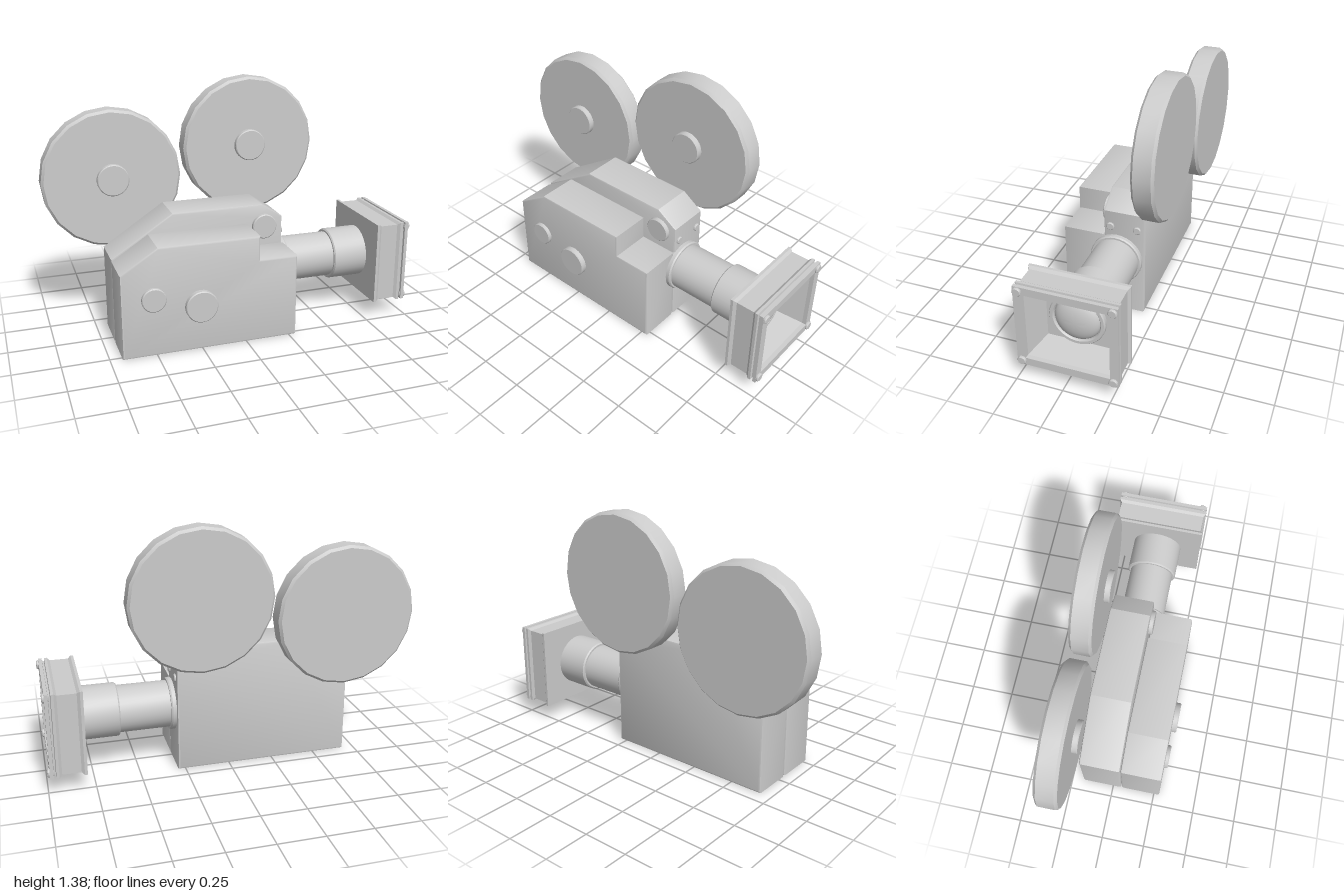
import * as THREE from 'three';
import { toCreasedNormals } from 'three/addons/utils/BufferGeometryUtils.js';

const material = new THREE.MeshStandardMaterial({ color: 0xcccccc });
const LENS_Y = 0.335, LENS_Z = -0.025;

function part(name, geometry, parent, x = 0, y = 0, z = 0) {
  const mesh = new THREE.Mesh(geometry, material);
  mesh.name = name;
  mesh.position.set(x, y, z);
  parent.add(mesh);
  return mesh;
}

// Turned solid from [radius, height] pairs
function turned(profile, sides) {
  const points = profile.map(([r, h]) => new THREE.Vector2(r, h));
  return toCreasedNormals(new THREE.LatheGeometry(points, sides), 0.5);
}

// Disc with softened rims, from height 0 to h
function disc(r, h, sides, b = 0.005) {
  return turned([[0, 0], [r - b, 0], [r, b], [r, h - b], [r - b, h], [0, h]], sides);
}
const facingFront = (g) => g.rotateX(Math.PI / 2);  // axis along +z
const facingLens = (g) => g.rotateZ(-Math.PI / 2);  // axis along +x

// Side profile extruded between two z planes with bevelled edges
function slab(outline, z0, z1) {
  const b = 0.01;
  const shape = new THREE.Shape(outline.map(([x, y]) => new THREE.Vector2(x, y)));
  const g = new THREE.ExtrudeGeometry(shape, {
    depth: z1 - z0 - 2 * b, bevelThickness: b, bevelSize: b, bevelOffset: -b, bevelSegments: 2,
  });
  return toCreasedNormals(g.translate(0, 0, z0 + b), 0.5);
}

// Skin over rectangular sections [x, half height, half width]
function rectLoft(sections) {
  const corners = [[1, 1], [1, -1], [-1, -1], [-1, 1]];
  const at = ([x, h, w], k) => [x, h * corners[k % 4][0], w * corners[k % 4][1]];
  const pos = [];
  for (let i = 0; i < sections.length - 1; i++) {
    for (let k = 0; k < 4; k++) {
      const a = at(sections[i], k), b = at(sections[i], k + 1);
      const c = at(sections[i + 1], k + 1), d = at(sections[i + 1], k);
      pos.push(...a, ...d, ...b, ...b, ...d, ...c);
    }
  }
  const g = new THREE.BufferGeometry();
  g.setAttribute('position', new THREE.Float32BufferAttribute(pos, 3));
  g.computeVertexNormals();
  return g;
}

export function createModel() {
  const camera = new THREE.Group();
  camera.name = 'filmCamera';

  // Two-part housing
  part('rearHousing', slab([[-0.685, 0], [0.29, 0], [0.29, 0.62], [0.17, 0.7], [-0.345, 0.7], [-0.685, 0.475]],
    -0.183, 0.048), camera);
  part('frontHousing', slab([[-0.685, 0], [0.29, 0], [0.29, 0.468], [0.075, 0.468], [0.075, 0.602],
    [-0.485, 0.602], [-0.685, 0.47]], 0.052, 0.282), camera);

  // Film reels with hubs
  for (const [side, x, y] of [['rear', -0.615, 0.85], ['front', 0.175, 0.99]]) {
    part(side + 'Reel', facingFront(disc(0.385, 0.12, 20, 0.014)), camera, x, y, -0.31);
    part(side + 'ReelHub', facingFront(disc(0.088, 0.035, 32)), camera, x, y, -0.195);
  }

  // Round dials on the housing
  part('smallDial', facingFront(disc(0.066, 0.03, 32)), camera, -0.513, 0.322, 0.272);
  part('largeDial', facingFront(disc(0.088, 0.04, 32)), camera, -0.258, 0.254, 0.272);
  part('upperDial', facingFront(disc(0.07, 0.03, 32)), camera, 0.18, 0.575, 0.04);

  // Screws above the lens mount
  for (const z of [0.01, -0.14]) {
    part('mountScrew', facingLens(disc(0.022, 0.02, 16, 0.004)), camera, 0.28, 0.53, z);
  }

  // Lens barrel: collar, tube and wider end
  const barrel = [[0, 0.28], [0.145, 0.28], [0.145, 0.31], [0.14, 0.318], [0.13, 0.318],
    [0.13, 0.595], [0.14, 0.595], [0.147, 0.602], [0.147, 0.81], [0, 0.81]];
  part('lensBarrel', facingLens(turned(barrel, 32)), camera, 0, LENS_Y, LENS_Z);

  // Ring and domed glass
  const ring = [[0.148, 0.82], [0.148, 0.85], [0.143, 0.857], [0.128, 0.857], [0.122, 0.85], [0.122, 0.82]];
  part('lensRing', facingLens(turned(ring, 40)), camera, 0, LENS_Y, LENS_Z);
  const dome = [];
  for (let i = 0; i <= 8; i++) {
    const a = (i / 8) * Math.PI / 2;
    dome.push([0.122 * Math.cos(a), 0.835 + 0.05 * Math.sin(a)]);
  }
  part('lensGlass', facingLens(turned(dome, 40)), camera, 0, LENS_Y, LENS_Z);

  // Square hood: grooved outside, front frame, tapered recess
  part('lensHood', rectLoft([
    [0.795, 0, 0], [0.795, 0.235, 0.265], [0.81, 0.235, 0.265], [0.825, 0.223, 0.253], [0.925, 0.223, 0.253],
    [0.94, 0.235, 0.265], [0.955, 0.235, 0.265], [0.957, 0.222, 0.252], [0.967, 0.222, 0.252],
    [0.969, 0.235, 0.265], [0.988, 0.235, 0.265], [0.988, 0.192, 0.221], [0.965, 0.19, 0.219],
    [0.83, 0.15, 0.17], [0.83, 0, 0],
  ]), camera, 0, LENS_Y, LENS_Z);

  // Corner studs on the hood frame
  for (const sy of [-1, 1]) {
    for (const sz of [-1, 1]) {
      part('hoodStud', facingLens(disc(0.024, 0.035, 16)), camera, 0.965, LENS_Y + sy * 0.209, LENS_Z + sz * 0.24);
    }
  }
  return camera;
}
